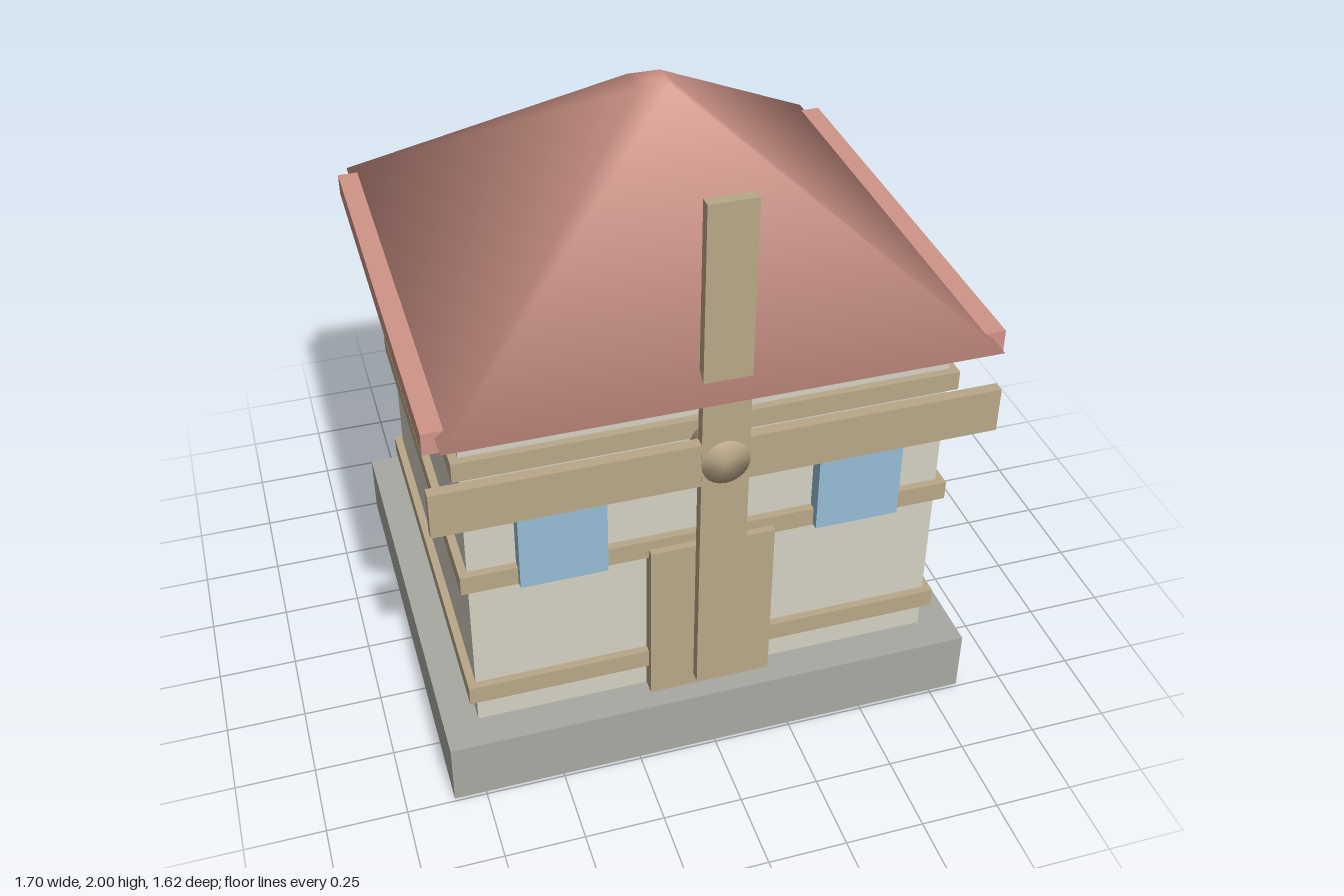
import * as THREE from 'three';
import { mergeVertices } from 'three/addons/utils/BufferGeometryUtils.js';

const mat = (name, color) => {
  const m = new THREE.MeshStandardMaterial({ color });
  m.name = name;
  return m;
};

// Shares vertices across caps and sides so the shading rolls over every edge
function softened(geometry) {
  geometry.deleteAttribute('normal');
  geometry.deleteAttribute('uv');
  const merged = mergeVertices(geometry, 1e-4);
  merged.computeVertexNormals();
  return merged;
}

export function createModel() {
  const stone = mat('stone', 0xa9a9a3);
  const plaster = mat('plaster', 0xd4d0c2);
  const wood = mat('wood', 0xb9a888);
  const tile = mat('roof tile', 0xcf9488);
  const glass = mat('window glass', 0x97bed5);

  const model = new THREE.Group();
  model.name = 'windmillHouse';

  const add = (name, geometry, material) => {
    const mesh = new THREE.Mesh(geometry, material);
    mesh.name = name;
    model.add(mesh);
    return mesh;
  };
  // Box given by its limits on each axis
  const box = (name, material, [x0, x1], [y0, y1], [z0, z1]) => {
    const mesh = add(name, new THREE.BoxGeometry(x1 - x0, y1 - y0, z1 - z0), material);
    mesh.position.set((x0 + x1) / 2, (y0 + y1) / 2, (z0 + z1) / 2);
    return mesh;
  };

  // Foundation and walls
  box('foundation', stone, [-0.85, 0.85], [0, 0.21], [-0.74, 0.74]);
  box('walls', plaster, [-0.74, 0.74], [0.21, 1.36], [-0.63, 0.63]);

  // Timber bands around the walls
  for (const y of [0.305, 0.755, 1.175]) {
    box('timberBand', wood, [-0.765, 0.765], [y, y + 0.063], [-0.655, 0.655]);
  }

  // Door and windows
  box('door', wood, [-0.195, 0.195], [0.21, 0.785], [0.62, 0.678]);
  for (const side of [-1, 1]) {
    const x = 0.46 * side;
    box(side > 0 ? 'leftWindow' : 'rightWindow', glass, [x - 0.133, x + 0.133], [0.76, 1.027], [0.62, 0.68]);
  }

  // Eave slab, with the truncated pyramid roof sunk into it
  box('eaveSlab', tile, [-0.85, 0.85], [1.35, 1.42], [-0.735, 0.735]);
  const roofGeometry = new THREE.CylinderGeometry(0.05 * Math.SQRT2, 0.812 * Math.SQRT2, 0.59, 4);
  roofGeometry.rotateY(Math.PI / 4);
  add('roof', softened(roofGeometry), tile).position.y = 1.695;

  // Sails crossing on a round hub
  box('verticalSail', wood, [-0.072, 0.072], [0.305, 2], [0.725, 0.76]);
  box('horizontalSail', wood, [-0.85, 0.85], [1.08, 1.227], [0.724, 0.759]);
  const hubGeometry = new THREE.CylinderGeometry(0.073, 0.073, 0.115, 24);
  hubGeometry.rotateX(Math.PI / 2);
  add('hub', softened(hubGeometry), wood).position.set(0, 1.155, 0.708);

  return model;
}
